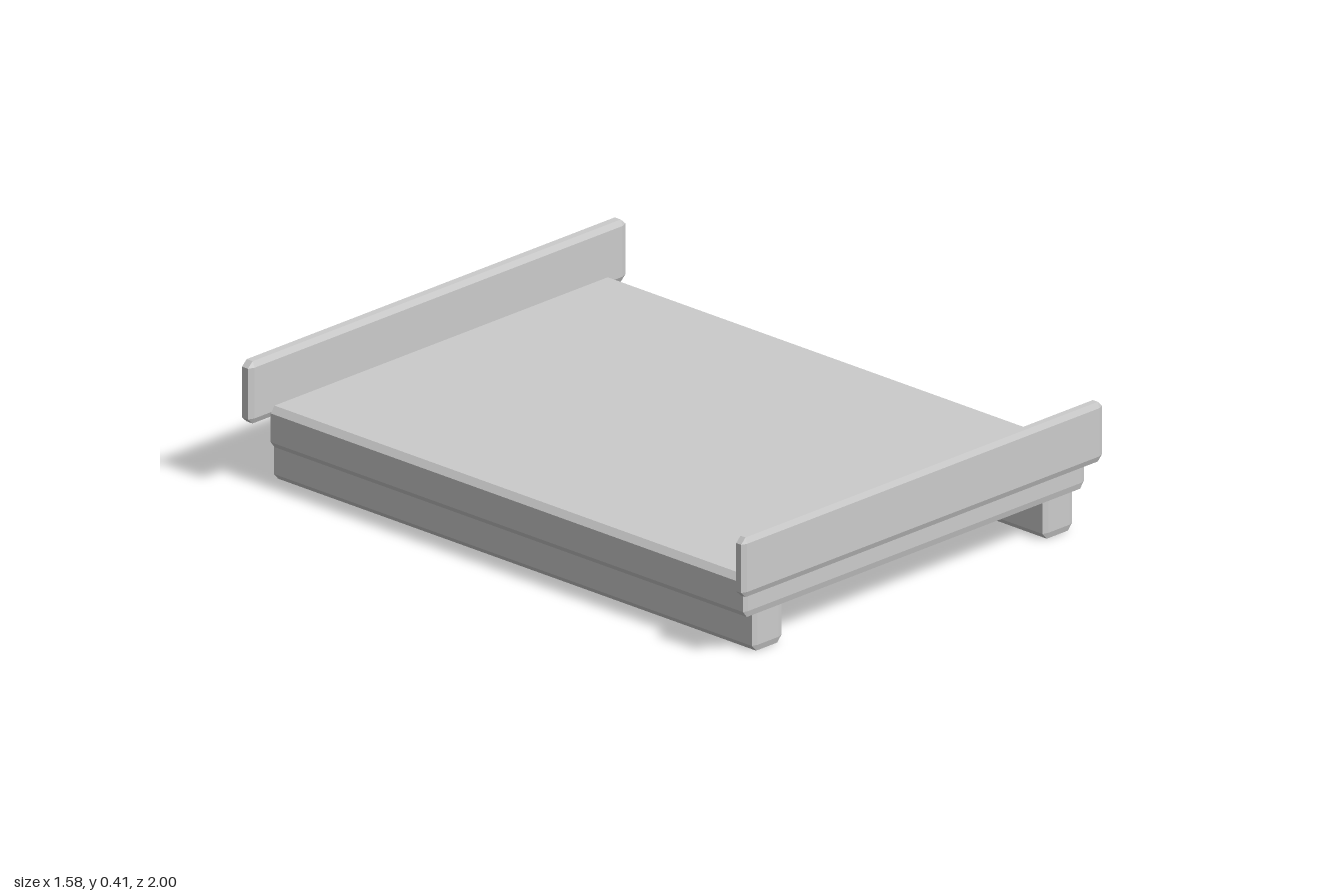
import * as THREE from 'three';
import { ConvexGeometry } from 'three/addons/geometries/ConvexGeometry.js';

const material = new THREE.MeshStandardMaterial({ color: 0xcccccc, flatShading: true });

// Box between two corners with chamfered edges; bevel is the inset along each axis
function chamferedBox(name, min, max, bevel) {
  const half = min.map((v, i) => (max[i] - v) / 2);
  const points = [];
  for (const sx of [-1, 1]) for (const sy of [-1, 1]) for (const sz of [-1, 1]) {
    for (let outer = 0; outer < 3; outer++) {
      const [x, y, z] = half.map((h, i) => (i === outer ? h : h - bevel[i]));
      points.push(new THREE.Vector3(sx * x, sy * y, sz * z));
    }
  }
  const mesh = new THREE.Mesh(new ConvexGeometry(points), material);
  mesh.name = name;
  mesh.position.set(...min.map((v, i) => (v + max[i]) / 2));
  return mesh;
}

export function createModel() {
  const model = new THREE.Group();
  model.name = 'lowBed';

  // Flat platform
  model.add(chamferedBox('platform', [-0.713, 0.12, -0.955], [0.713, 0.25, 0.965], [0.016, 0.02, 0.005]));

  // End boards, the rear one slightly larger
  model.add(chamferedBox('headBoard', [-0.79, 0.21, -1], [0.79, 0.405, -0.96], [0.02, 0.018, 0.008]));
  model.add(chamferedBox('footBoard', [-0.755, 0.203, 0.966], [0.755, 0.39, 1], [0.018, 0.018, 0.007]));

  // Runners under the platform, poking out at the rear
  for (const [name, side] of [['leftRunner', 1], ['rightRunner', -1]]) {
    const x = side * 0.608;
    model.add(chamferedBox(name, [x - 0.062, 0, -0.985], [x + 0.062, 0.2, 0.96], [0.018, 0.02, 0.006]));
  }
  return model;
}
